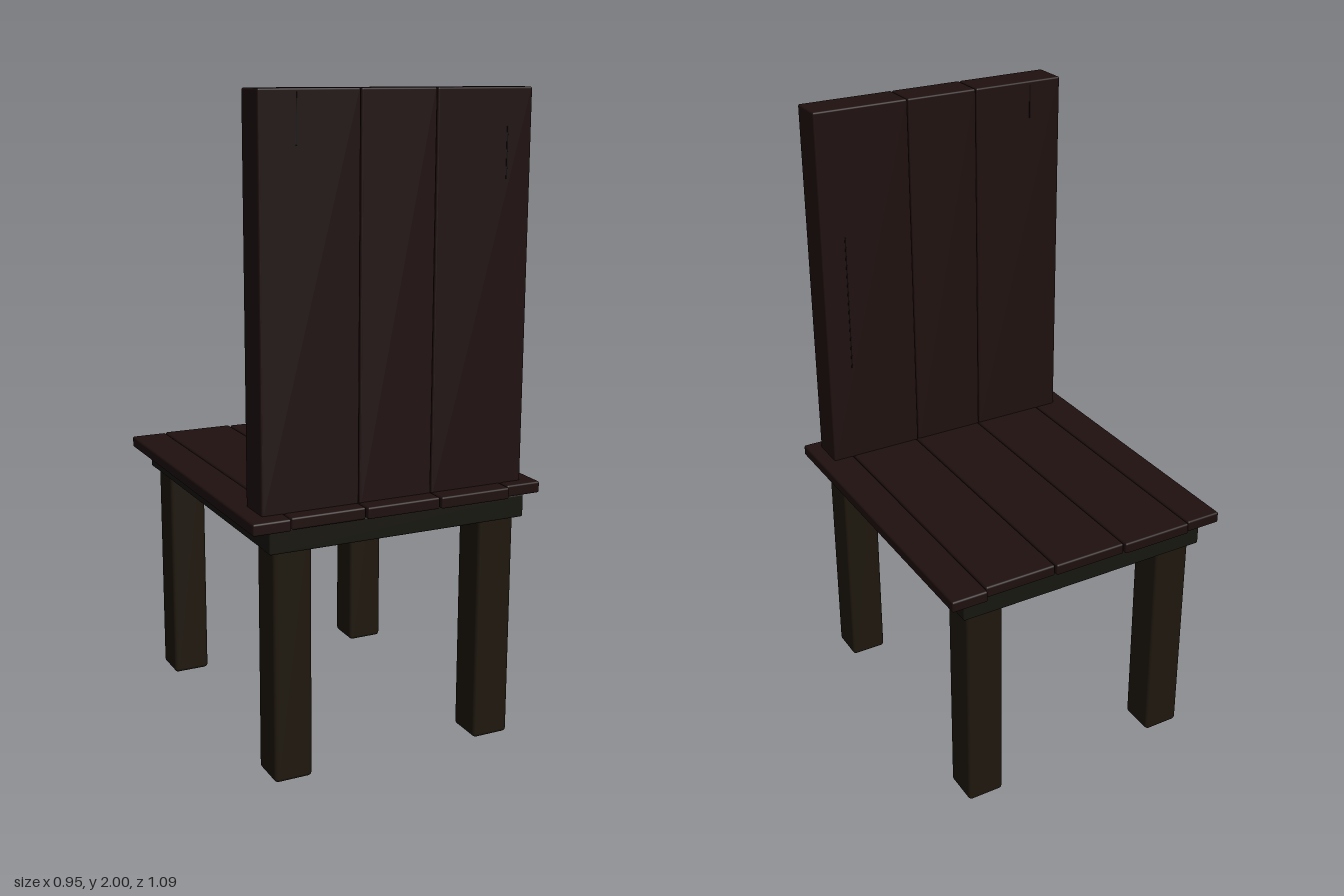
import * as THREE from 'three';
import { RoundedBoxGeometry } from 'three/addons/geometries/RoundedBoxGeometry.js';

export function createModel() {
  const chair = new THREE.Group();
  chair.name = 'chair';

  const plankWood = new THREE.MeshStandardMaterial({ color: 0x1e100e });
  const legWood = new THREE.MeshStandardMaterial({ color: 0x1e170d });
  const apronWood = new THREE.MeshStandardMaterial({ color: 0x17160f });
  const crackWood = new THREE.MeshStandardMaterial({ color: 0x0c0606 });

  // Softened box given by its extents along each axis
  function board(parent, name, material, [x0, x1], [y0, y1], [z0, z1], radius = 0.006) {
    const geometry = new RoundedBoxGeometry(x1 - x0, y1 - y0, z1 - z0, 2, radius);
    const mesh = new THREE.Mesh(geometry, material);
    mesh.name = name;
    mesh.position.set((x0 + x1) / 2, (y0 + y1) / 2, (z0 + z1) / 2);
    parent.add(mesh);
  }

  function group(name) {
    const g = new THREE.Group();
    g.name = name;
    chair.add(g);
    return g;
  }

  // Seat: five planks with uneven ends
  const seat = group('seat');
  [
    [-0.478, -0.361, -0.530, 0.541],
    [-0.357, -0.123, -0.538, 0.532],
    [-0.119, 0.118, -0.532, 0.538],
    [0.122, 0.355, -0.528, 0.542],
    [0.359, 0.475, -0.546, 0.523],
  ].forEach(([x0, x1, z0, z1]) =>
    board(seat, 'seatPlank', plankWood, [x0, x1], [0.79, 0.826], [z0, z1]));

  // Backrest: three upright planks
  const back = group('backrest');
  [[-0.428, -0.123], [-0.121, 0.115], [0.117, 0.428]].forEach((x) =>
    board(back, 'backPlank', plankWood, x, [0.822, 2], [0.37, 0.485]));

  // Fine cracks in the backrest, on its outer and seat-side faces
  [
    [-0.317, 1.85, 1.99, 0.484],
    [0.347, 1.74, 1.89, 0.484],
    [-0.317, 1.88, 1.99, 0.371],
    [0.347, 1.15, 1.6, 0.371],
  ].forEach(([x, y0, y1, z]) =>
    board(back, 'crack', crackWood, [x - 0.002, x + 0.002], [y0, y1], [z - 0.002, z + 0.002], 0.0005));

  // Apron: open frame under the seat
  const apron = group('apron');
  const rail = 0.05;
  for (const [z0, z1] of [[-0.51, -0.51 + rail], [0.52 - rail, 0.52]]) {
    board(apron, 'apronRail', apronWood, [-0.42, 0.42], [0.72, 0.793], [z0, z1]);
  }
  for (const [x0, x1] of [[-0.42, -0.42 + rail], [0.42 - rail, 0.42]]) {
    board(apron, 'apronSideRail', apronWood, [x0, x1], [0.721, 0.793], [-0.508, 0.518]);
  }

  // Four square legs set inside the frame
  const legs = group('legs');
  for (const x of [[-0.4, -0.28], [0.277, 0.397]]) {
    for (const z of [[-0.487, -0.366], [0.38, 0.502]]) {
      board(legs, 'leg', legWood, x, [0.005, 0.793], z, 0.012);
    }
  }

  return chair;
}
